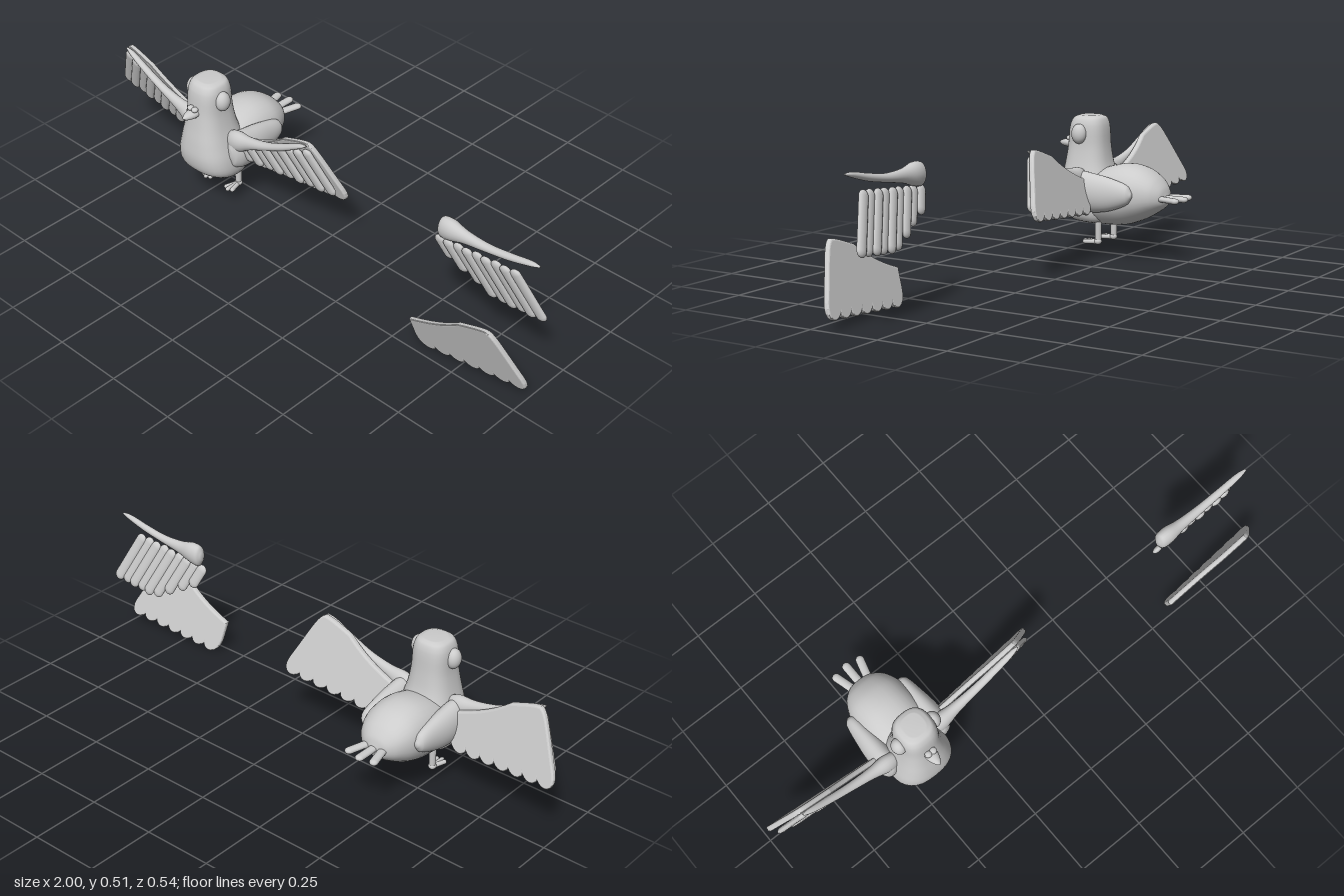
import * as THREE from 'three';

const material = new THREE.MeshStandardMaterial({ color: 0xcccccc });

function part(parent, name, geometry, x = 0, y = 0, z = 0) {
  const mesh = new THREE.Mesh(geometry, material);
  mesh.name = name;
  mesh.position.set(x, y, z);
  parent.add(mesh);
  return mesh;
}

// Smooth loft through rows of [t, low, high, halfWidth], closed at both ends.
// place(t, across, along) turns a section point into x, y, z.
function loft(rows, place, power = 2, rings = 36, sides = 32) {
  const mid = new THREE.CatmullRomCurve3(rows.map(r => new THREE.Vector3(r[0], (r[1] + r[2]) / 2, 0)));
  const size = new THREE.CatmullRomCurve3(rows.map(r => new THREE.Vector3(r[0], (r[2] - r[1]) / 2, r[3])));
  const pos = [], index = [];
  const round = v => Math.sign(v) * Math.abs(v) ** (2 / power);
  for (let i = -1; i <= rings + 1; i++) {
    const u = Math.min(Math.max(i / rings, 0), 1);
    const m = mid.getPoint(u), s = size.getPoint(u);
    const k = i < 0 || i > rings ? 0 : 1;
    for (let j = 0; j < sides; j++) {
      const a = j / sides * Math.PI * 2;
      pos.push(...place(m.x, k * Math.max(s.z, 0) * round(Math.cos(a)), m.y + k * Math.max(s.y, 0) * round(Math.sin(a))));
    }
  }
  for (let i = 0; i < rings + 2; i++) for (let j = 0; j < sides; j++) {
    const a = i * sides + j, b = i * sides + (j + 1) % sides;
    index.push(a, b, b + sides, a, b + sides, a + sides);
  }
  const g = new THREE.BufferGeometry();
  g.setAttribute('position', new THREE.Float32BufferAttribute(pos, 3));
  g.setIndex(index);
  g.computeVertexNormals();
  return g;
}
const alongZ = (t, w, v) => [w, v, t];   // rows run towards +z
const downY = (t, w, v) => [w, t, v];    // rows run downwards
const inwardX = (t, w, v) => [t, v, w];  // rows run towards -x

function ellipsoid(rx, ry, rz) {
  return new THREE.SphereGeometry(1, 24, 16).scale(rx, ry, rz);
}

// Wing bone: thick at the shoulder, thin at the wrist
function wingBone() {
  return loft([[0.39, 0.036, 0.042, 0.004], [0.36, 0.026, 0.043, 0.01], [0.28, 0.004, 0.029, 0.013],
    [0.19, -0.012, 0.017, 0.015], [0.1, -0.027, 0.022, 0.02], [0.045, -0.043, 0.035, 0.028],
    [0.012, -0.045, 0.03, 0.024], [0, -0.02, 0.005, 0.008]], inwardX, 2, 32, 20);
}

// Row of overlapping covert feathers between two points
function featherRow(start, end, lengths) {
  const row = new THREE.Group();
  row.name = 'covertFeathers';
  const dir = new THREE.Vector3(0.42, -0.86, -0.26).normalize();
  const turn = new THREE.Quaternion().setFromUnitVectors(new THREE.Vector3(0, -1, 0), dir);
  for (let i = 0; i < 9; i++) {
    const len = lengths(i / 8), r = 0.021;
    const g = new THREE.CapsuleGeometry(r, len - 2 * r, 6, 14).scale(1, 1, 0.5);
    const p = start.clone().lerp(end, i / 8).addScaledVector(dir, len / 2);
    part(row, 'feather', g, p.x, p.y, p.z + (i % 2) * 0.004).quaternion.copy(turn);
  }
  return row;
}

// Thin leaning flight panel with rounded feather tips along the lower edge
function flightPanel() {
  const s = new THREE.Shape();
  s.moveTo(0.585, 0.05);
  s.lineTo(0.577, 0.115);
  s.bezierCurveTo(0.68, 0.15, 0.74, 0.19, 0.78, 0.222);
  s.bezierCurveTo(0.83, 0.24, 0.87, 0.255, 0.887, 0.254);
  s.bezierCurveTo(0.91, 0.245, 0.93, 0.19, 0.985, 0.085);
  const n = 7;
  for (let i = 0; i < n; i++) {
    const x0 = 0.985 - 0.4 * i / n, x1 = 0.985 - 0.4 * (i + 1) / n;
    const y0 = 0.085 - 0.035 * i / n, y1 = 0.085 - 0.035 * (i + 1) / n;
    s.bezierCurveTo(x0 + 0.03, y0 - 0.06, x1 + 0.01, y1 - 0.06, x1, y1);
  }
  const g = new THREE.ExtrudeGeometry(s, { depth: 0.008, bevelThickness: 0.006, bevelSize: 0.006, bevelSegments: 3, curveSegments: 10 });
  const p = g.attributes.position;
  for (let i = 0; i < p.count; i++) {
    p.setZ(i, p.getZ(i) + 0.207 + 0.31 * p.getY(i) - 0.09 * (p.getX(i) - 0.6) - 0.006);
  }
  g.computeVertexNormals();
  return g;
}

function wing(name, side) {
  const w = new THREE.Group();
  w.name = name;
  const bone = part(w, 'wingBone', wingBone(), 0.075, 0.288, 0.115);
  bone.rotation.z = 0.27;
  w.add(featherRow(new THREE.Vector3(0.12, 0.305, 0.118), new THREE.Vector3(0.43, 0.41, 0.11), t => 0.1 + 0.1 * t));
  part(w, 'flightPanel', flightPanel(), -0.452, 0.175, -0.16);
  w.scale.x = side;
  return w;
}

function bird() {
  const b = new THREE.Group();
  b.name = 'bird';

  // Head, neck and breast
  part(b, 'headAndBreast', loft([[0.51, 0.09, 0.165, 0.035], [0.502, 0.073, 0.183, 0.055], [0.475, 0.063, 0.196, 0.066],
    [0.4, 0.057, 0.204, 0.07], [0.34, 0.048, 0.213, 0.08], [0.28, 0.03, 0.224, 0.095], [0.22, 0.02, 0.229, 0.109],
    [0.17, 0.02, 0.215, 0.11], [0.14, 0.03, 0.175, 0.095], [0.125, 0.05, 0.13, 0.05]], downY, 2.6));

  // Rounded rear body
  part(b, 'body', loft([[-0.187, 0.222, 0.24, 0.012], [-0.178, 0.2, 0.268, 0.045], [-0.15, 0.178, 0.302, 0.078],
    [-0.1, 0.149, 0.333, 0.102], [-0.04, 0.127, 0.345, 0.11], [0.02, 0.12, 0.337, 0.112], [0.08, 0.122, 0.315, 0.11],
    [0.15, 0.135, 0.28, 0.1], [0.2, 0.16, 0.24, 0.06]], alongZ, 2.2));

  // Beak
  part(b, 'beak', loft([[0.19, 0.39, 0.416, 0.02], [0.215, 0.387, 0.418, 0.022], [0.238, 0.39, 0.414, 0.015],
    [0.25, 0.395, 0.409, 0.008], [0.255, 0.4, 0.404, 0.003]], alongZ, 2, 16, 18));

  // Tail feathers
  for (const k of [-1, 0, 1]) {
    const t = new THREE.CapsuleGeometry(0.015, 0.09, 6, 14).rotateX(Math.PI / 2).scale(1, 0.7, 1);
    part(b, 'tailFeather', t, k * 0.038, 0.232, -0.207 + Math.abs(k) * 0.008).rotation.y = -k * 0.27;
  }

  for (const s of [-1, 1]) {
    const side = s > 0 ? 'left' : 'right';
    part(b, side + 'Eye', ellipsoid(0.025, 0.036, 0.028), s * 0.07, 0.447, 0.135);
    part(b, side + 'Nostril', ellipsoid(0.012, 0.009, 0.012), s * 0.01, 0.421, 0.21);

    // Side pad where the wing folds
    part(b, side + 'SidePad', loft([[-0.101, 0.24, 0.255, 0.008], [-0.085, 0.216, 0.28, 0.022], [-0.02, 0.188, 0.302, 0.034],
      [0.05, 0.176, 0.315, 0.042], [0.11, 0.18, 0.32, 0.04], [0.137, 0.2, 0.3, 0.026], [0.146, 0.235, 0.27, 0.008]],
      alongZ), s * 0.107, 0, 0);

    // Leg and foot with three toes
    const x = s * 0.056;
    part(b, side + 'Leg', new THREE.CylinderGeometry(0.013, 0.011, 0.09, 16), x, 0.105, 0.062);
    part(b, side + 'Heel', ellipsoid(0.014, 0.012, 0.014), x, 0.062, 0.063);
    for (const k of [-1, 0, 1]) {
      const toe = new THREE.CapsuleGeometry(0.008, 0.05, 5, 12).rotateX(Math.PI / 2).translate(0, 0, 0.026);
      part(b, side + 'Toe', toe, x, 0.06, 0.062 + (k ? -0.002 : 0.003)).rotation.y = k * 0.3;
    }
    b.add(wing(side + 'Wing', s));
  }
  b.position.x = -0.454;
  return b;
}

export function createModel() {
  const model = new THREE.Group();
  model.name = 'birdWithSpareWingParts';
  model.add(bird());

  // Separate wing parts laid out beside the bird
  const spare = new THREE.Group();
  spare.name = 'spareWingParts';
  part(spare, 'spareWingBone', wingBone(), 0.58, 0.44, 0.13);
  spare.add(featherRow(new THREE.Vector3(0.578, 0.395, 0.137), new THREE.Vector3(0.875, 0.42, 0.135),
    t => 0.1 + 0.115 * Math.min(1, t * 2.5)));
  part(spare, 'spareFlightPanel', flightPanel());
  model.add(spare);
  return model;
}
